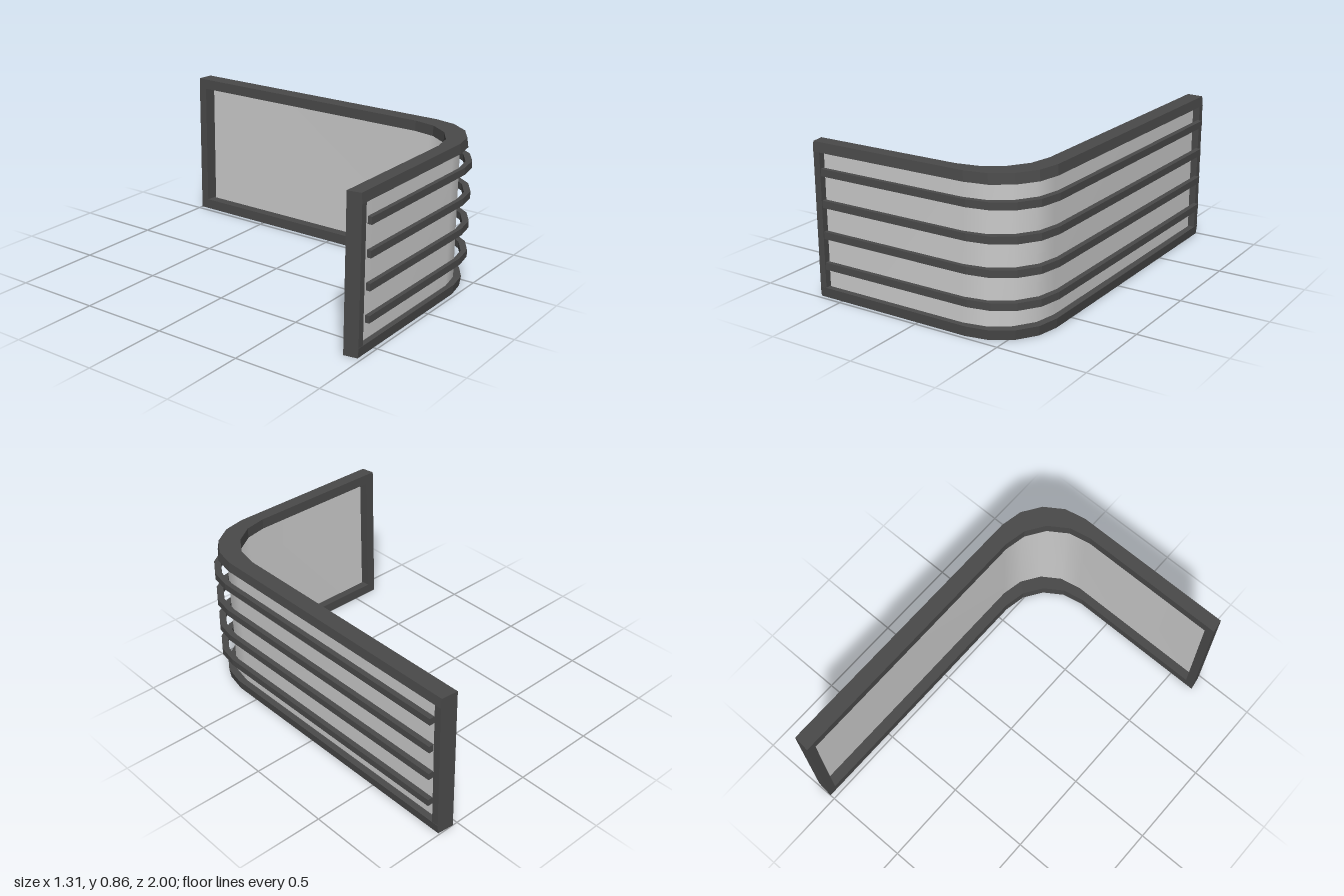
import * as THREE from 'three';

const RADIUS = 0.33, STEPS = 4;
const HEIGHT = 0.86, RAIL = 0.06, POST = 0.05;

// Layers: t = 0 is the inner face of the frame, t = 1 its outer face
const planeX = t => 0.53 + 0.1 * t;
const planeZ = t => 0.902 + 0.08 * t;
const frameStart = t => -0.657 + 0.013 * t;
const frameEnd = t => -1 + 0.01 * t;

// L-shaped plan with a rounded corner, as [x, z] points at layer t
function cornerPath(t, startX, endZ) {
  const X = planeX(t), Z = planeZ(t), points = [[startX, Z]];
  for (let i = 0; i <= STEPS; i++) {
    const a = (i / STEPS) * Math.PI / 2;
    points.push([X - RADIUS + RADIUS * Math.sin(a), Z - RADIUS + RADIUS * Math.cos(a)]);
  }
  points.push([X, endZ]);
  return points;
}

// Sweeps a section of [layer, y] points along its layered path
function sweep(section, pathAt, closed = true) {
  const n = section.length, paths = section.map(([t]) => pathAt(t));
  const rings = paths[0].length, positions = [], index = [];
  for (let k = 0; k < rings; k++) {
    section.forEach(([, y], i) => positions.push(paths[i][k][0], y, paths[i][k][1]));
  }
  for (let k = 0; k < rings - 1; k++) {
    for (let i = 0; i < (closed ? n : n - 1); i++) {
      const a = k * n + i, b = k * n + (i + 1) % n;
      index.push(a, a + n, b + n, a, b + n, b);
    }
  }
  if (closed) {
    const last = (rings - 1) * n;
    for (let i = 1; i < n - 1; i++) {
      index.push(0, i, i + 1, last, last + i + 1, last + i);
    }
  }
  const geometry = new THREE.BufferGeometry();
  geometry.setAttribute('position', new THREE.Float32BufferAttribute(positions, 3));
  geometry.setIndex(index);
  geometry.computeVertexNormals();
  return geometry;
}

const box = (t0, t1, y0, y1) => [[t0, y0], [t1, y0], [t1, y1], [t0, y1]];

export function createModel() {
  const group = new THREE.Group();
  const dark = new THREE.MeshStandardMaterial({ color: 0x4a4a4a, flatShading: true });
  const grey = new THREE.MeshStandardMaterial({ color: 0xcccccc, side: THREE.DoubleSide });
  const add = (name, geometry, material) => {
    const mesh = new THREE.Mesh(geometry, material);
    mesh.name = name;
    group.add(mesh);
  };

  // Frame rails, with outer faces leaning slightly towards the opening
  const framePath = t => cornerPath(t, frameStart(t), frameEnd(t));
  add('bottomRail', sweep([[0, 0], [0.95, 0], [1.02, RAIL - 0.005], [0, RAIL]], framePath), dark);
  add('topRail', sweep([[0, HEIGHT - RAIL], [1.02, HEIGHT - RAIL + 0.005], [0.95, HEIGHT], [0, HEIGHT]], framePath), dark);

  // Frame end posts
  const postSection = box(0, 1, RAIL - 0.01, HEIGHT - RAIL + 0.01);
  add('frontPost', sweep(postSection, t => [[frameStart(t), planeZ(t)], [-0.655 + POST, planeZ(t)]]), dark);
  add('backPost', sweep(postSection, t => [[planeX(t), -1 + POST], [planeX(t), frameEnd(t)]]), dark);

  // Curved panel, stopping just short of the end posts
  add('panel', sweep([[0.65, RAIL - 0.005], [0.65, HEIGHT - RAIL + 0.005]],
    t => cornerPath(t, -0.598, -0.938), false), grey);

  // Guard bars standing clear of the panel
  for (let i = 0; i < 4; i++) {
    const y = 0.19 + i * 0.172;
    add('guardBar', sweep(box(0.93, 1.23, y - 0.02, y + 0.02),
      t => cornerPath(t, -0.583, -0.942)), dark);
  }
  return group;
}
